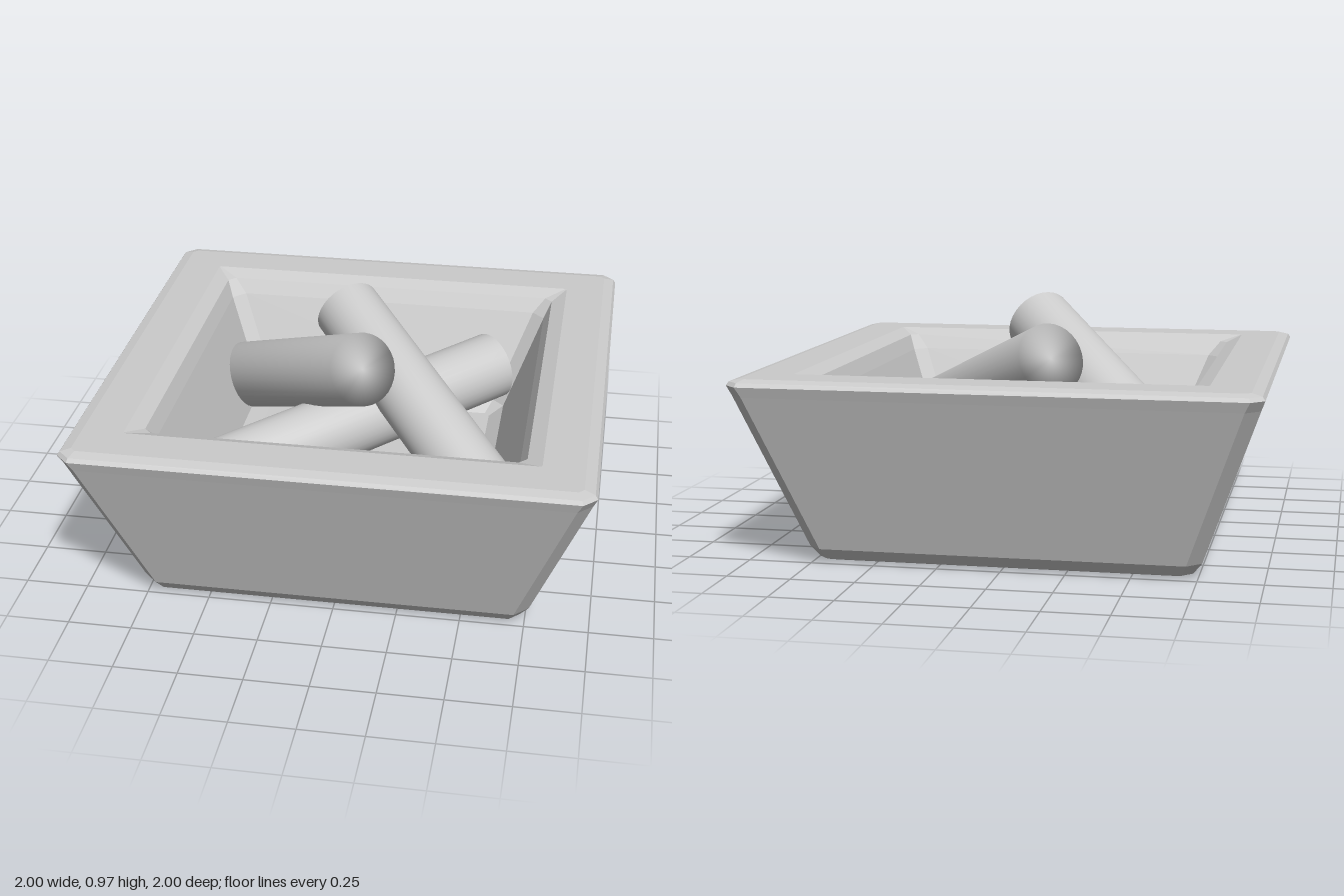
import * as THREE from 'three';
import { mergeVertices } from 'three/addons/utils/BufferGeometryUtils.js';

const material = new THREE.MeshStandardMaterial({ color: 0xcccccc });
const facetedMaterial = new THREE.MeshStandardMaterial({ color: 0xcccccc, flatShading: true });

// Square bowl: [half width, height, corner chamfer] from under the base, over the rim, to the floor
const BOWL_RINGS = [
  [0, 0, 0],
  [0.68, 0, 0.02],
  [0.73, 0.015, 0.04],
  [0.765, 0.06, 0.055],
  [0.985, 0.68, 0.055],
  [1, 0.72, 0.05],
  [0.99, 0.735, 0.045],
  [0.95, 0.745, 0.02],
  [0.79, 0.745, 0.005],
  [0.73, 0.72, 0.03],
  [0.7, 0.66, 0.05],
  [0.55, 0.29, 0.05],
  [0.49, 0.25, 0.02],
  [0, 0.25, 0],
];

function bowlGeometry() {
  const positions = [];
  const index = [];
  for (const [h, y, c] of BOWL_RINGS) {
    const k = h - c;
    const ring = [[h, -k], [h, k], [k, h], [-k, h], [-h, k], [-h, -k], [-k, -h], [k, -h]];
    for (const [x, z] of ring) positions.push(x, y, z);
  }
  for (let i = 0; i < BOWL_RINGS.length - 1; i++) {
    for (let j = 0; j < 8; j++) {
      const a = i * 8 + j;
      const b = i * 8 + ((j + 1) % 8);
      index.push(a, b + 8, b, a, a + 8, b + 8);
    }
  }
  const geometry = new THREE.BufferGeometry();
  geometry.setAttribute('position', new THREE.Float32BufferAttribute(positions, 3));
  geometry.setIndex(index);
  const flat = geometry.toNonIndexed();
  flat.computeVertexNormals();
  return flat;
}

// Log between two end centres, with normals blended over its ends
function makeLog(name, start, end, radius) {
  const a = new THREE.Vector3(...start);
  const b = new THREE.Vector3(...end);
  const direction = b.clone().sub(a);
  let geometry = new THREE.CylinderGeometry(radius, radius, direction.length(), 32);
  geometry.deleteAttribute('normal');
  geometry.deleteAttribute('uv');
  geometry = mergeVertices(geometry, 1e-4);
  geometry.computeVertexNormals();
  const log = new THREE.Mesh(geometry, material);
  log.name = name;
  log.position.copy(a).add(b).multiplyScalar(0.5);
  log.quaternion.setFromUnitVectors(new THREE.Vector3(0, 1, 0), direction.normalize());
  return log;
}

export function createModel() {
  const model = new THREE.Group();
  model.name = 'firePit';

  const bowl = new THREE.Mesh(bowlGeometry(), facetedMaterial);
  bowl.name = 'bowl';
  model.add(bowl);

  // One log lies across the bowl, two lean over it with their low ends against the walls
  model.add(
    makeLog('crossLog', [-0.53, 0.4, 0.485], [0.497, 0.505, -0.468], 0.143),
    makeLog('rightLeaningLog', [-0.65, 0.35, -0.496], [0.049, 0.84, 0.311], 0.145),
    makeLog('leftLeaningLog', [0.65, 0.352, 0.566], [-0.128, 0.772, -0.374], 0.143),
  );
  return model;
}
